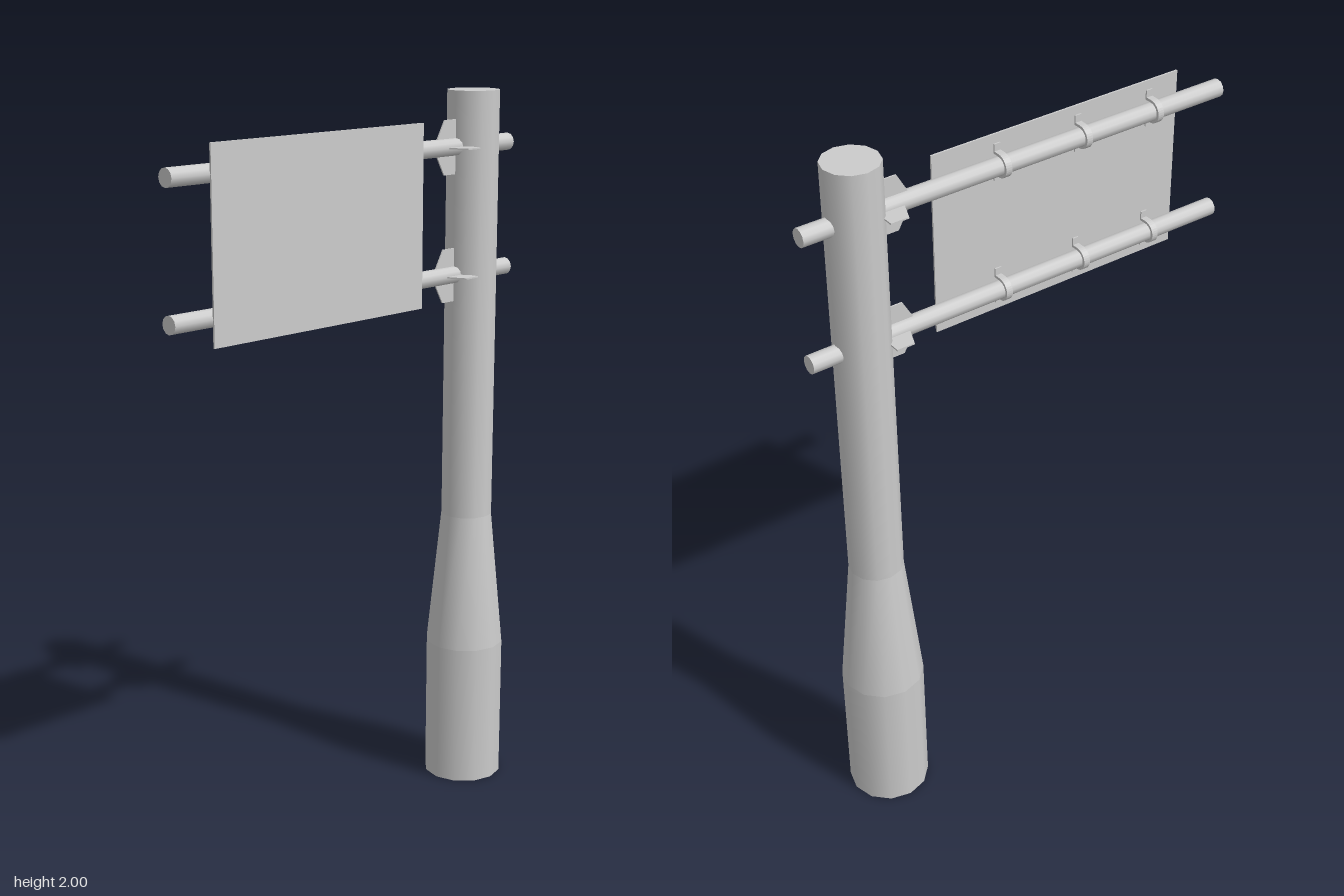
import * as THREE from 'three';

const POLE_X = 0.475;
const BAR_R = 0.024;
const BAR_HEIGHTS = [1.85, 1.5];
const CLAMP_XS = [-0.411, -0.186, 0.058];
const PANEL_BACK = 0.022;

export function createModel() {
  const model = new THREE.Group();
  model.name = 'signPost';
  const material = new THREE.MeshStandardMaterial({ color: 0xcccccc });

  const add = (parent, name, geometry, x = 0, y = 0, z = 0) => {
    const mesh = new THREE.Mesh(geometry, material);
    mesh.name = name;
    mesh.position.set(x, y, z);
    parent.add(mesh);
    return mesh;
  };

  const polygon = (points) => new THREE.Shape(points.map(([x, y]) => new THREE.Vector2(x, y)));

  // Thin plate extruded evenly about its own plane
  const plate = (shape, depth) =>
    new THREE.ExtrudeGeometry(shape, { depth, bevelEnabled: false, curveSegments: 8 }).translate(0, 0, -depth / 2);

  // Pole: wide base, taper and slim shaft
  const pole = new THREE.Group();
  pole.name = 'pole';
  pole.position.x = POLE_X;
  model.add(pole);
  const section = (name, rTop, rBottom, y0, y1, open) =>
    add(pole, name, new THREE.CylinderGeometry(rTop, rBottom, y1 - y0, 12, 1, open), 0, (y0 + y1) / 2);
  section('poleBase', 0.112, 0.112, 0, 0.41, false);
  section('poleTaper', 0.073, 0.112, 0.41, 0.8, true);
  section('poleShaft', 0.073, 0.073, 0.8, 2, false);

  // Sign panel
  add(model, 'signPanel', new THREE.BoxGeometry(0.748, 0.496, 0.005), -0.129, 1.677, PANEL_BACK + 0.0025);

  // Gusset outline: chamfered towards the bar, square towards the pole
  const gusset = (tip, shoulder, end) => plate(polygon([
    [tip, -0.025], [shoulder, -0.074], [end, -0.074],
    [end, 0.074], [shoulder, 0.074], [tip, 0.025],
  ]), 0.004);
  const uprightGusset = gusset(0.329, 0.357, 0.402);
  const flatGusset = gusset(0.352, 0.372, 0.422).rotateX(Math.PI / 2);

  // Clamp strap: loops behind the bar, with two flanges against the panel
  const outer = 0.031, inner = BAR_R, foot = PANEL_BACK, t = 0.004, reach = 0.05;
  const strap = new THREE.Shape();
  strap.moveTo(reach, foot);
  strap.lineTo(reach, foot - t);
  strap.lineTo(outer, foot - t);
  strap.lineTo(outer, 0);
  strap.absarc(0, 0, outer, 0, -Math.PI, true);
  strap.lineTo(-outer, foot - t);
  strap.lineTo(-reach, foot - t);
  strap.lineTo(-reach, foot);
  strap.lineTo(-inner, foot);
  strap.lineTo(-inner, 0);
  strap.absarc(0, 0, inner, -Math.PI, 0, false);
  strap.lineTo(inner, foot);
  // Turn the outline so its plane is yz and its width runs along x
  const turn = new THREE.Matrix4().makeBasis(
    new THREE.Vector3(0, 1, 0), new THREE.Vector3(0, 0, 1), new THREE.Vector3(1, 0, 0));
  const clampGeometry = plate(strap, 0.018).applyMatrix4(turn);

  // Two support arms, each with gussets and clamps
  const barGeometry = new THREE.CylinderGeometry(BAR_R, BAR_R, 1.246, 12).rotateZ(Math.PI / 2);
  for (const y of BAR_HEIGHTS) {
    const arm = new THREE.Group();
    arm.name = 'supportArm';
    arm.position.y = y;
    model.add(arm);
    add(arm, 'bar', barGeometry);
    add(arm, 'uprightGusset', uprightGusset);
    add(arm, 'flatGusset', flatGusset);
    for (const x of CLAMP_XS) add(arm, 'clamp', clampGeometry, x);
  }

  return model;
}
